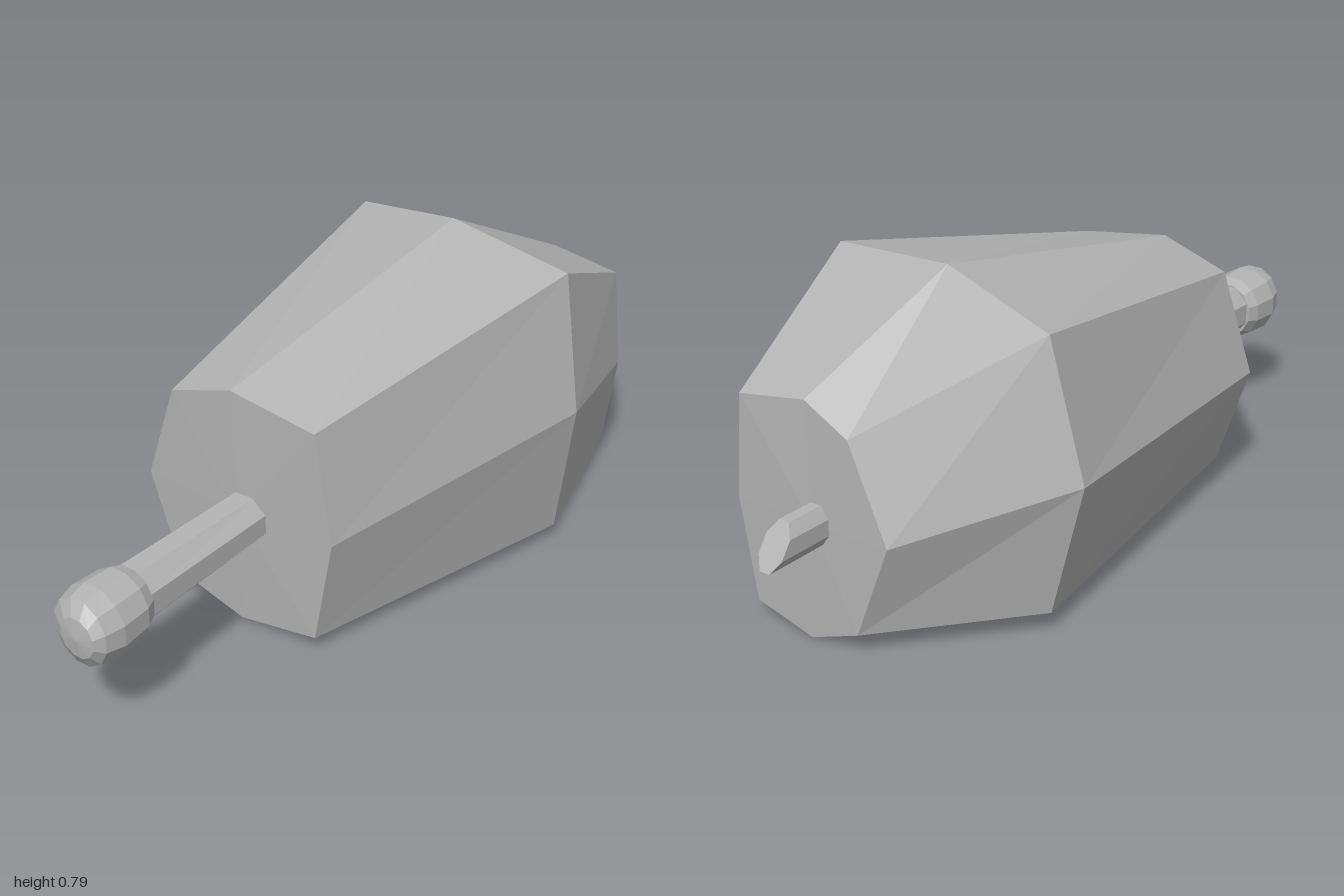
import * as THREE from 'three';

// Skin closed rings (listed front to back, clockwise seen from the front) and fan-cap both ends.
function loft(name, rings, material, frontTip, backTip) {
  const pos = [];
  const tri = (...pts) => pts.forEach((p) => pos.push(...p));
  const middle = (ring) => [0, 1, 2].map((k) => ring.reduce((s, p) => s + p[k], 0) / ring.length);
  const n = rings[0].length;
  const first = rings[0], last = rings[rings.length - 1];
  const f = frontTip || middle(first), b = backTip || middle(last);
  for (let i = 0; i < n; i++) {
    const j = (i + 1) % n;
    for (let r = 0; r < rings.length - 1; r++) {
      const p = rings[r], q = rings[r + 1];
      tri(p[i], p[j], q[i]);
      tri(p[j], q[j], q[i]);
    }
    tri(f, first[j], first[i]);
    tri(b, last[i], last[j]);
  }
  const geometry = new THREE.BufferGeometry();
  geometry.setAttribute('position', new THREE.Float32BufferAttribute(pos, 3));
  geometry.computeVertexNormals();
  const mesh = new THREE.Mesh(geometry, material);
  mesh.name = name;
  return mesh;
}

// Elliptical ring; zAt may be a number or a function of y.
function oval(cx, cy, rx, ry, zAt, sides, turn = 0) {
  return Array.from({ length: sides }, (_, i) => {
    const a = ((i + turn) / sides) * Math.PI * 2;
    const y = cy + ry * Math.cos(a);
    return [cx + rx * Math.sin(a), y, typeof zAt === 'function' ? zAt(y) : zAt];
  });
}

export function createModel() {
  const grey = new THREE.MeshStandardMaterial({ color: 0xb4b4b4 });
  grey.name = 'grey';
  grey.flatShading = true;
  const model = new THREE.Group();
  model.name = 'facetedBarrelWithHandle';

  // Irregular eight-sided body: front, widest and back sections
  const front = [
    [-0.03, 0.635, 0.42], [0.21, 0.6, 0.415], [0.253, 0.32, 0.41], [0.197, 0.04, 0.405],
    [-0.03, 0.003, 0.405], [-0.22, 0.055, 0.405], [-0.308, 0.32, 0.41], [-0.217, 0.575, 0.415],
  ];
  const widest = [
    [0, 0.79, -0.42], [0.372, 0.755, -0.37], [0.433, 0.4, -0.35], [0.377, 0.04, -0.37],
    [0.06, 0.002, -0.42], [-0.345, 0.055, -0.5], [-0.435, 0.395, -0.5], [-0.342, 0.728, -0.5],
  ];
  const back = [
    [0.06, 0.592, -0.832], [0.25, 0.56, -0.838], [0.28, 0.3, -0.835], [0.245, 0.04, -0.83],
    [0.08, 0, -0.83], [-0.06, 0.055, -0.83], [-0.158, 0.3, -0.83], [-0.06, 0.53, -0.832],
  ];
  model.add(loft('body', [front, widest, back], grey, [-0.02, 0.31, 0.42], [0.05, 0.3, -0.838]));

  // Handle shaft, slightly thicker toward the knob
  model.add(loft('handleShaft', [
    oval(0.005, 0.3, 0.07, 0.075, 0.83, 8, 0.5),
    oval(0.002, 0.312, 0.066, 0.062, 0.4, 8, 0.5),
  ], grey));

  // Rounded knob
  model.add(loft('handleKnob', [
    [0.025, 0.3, 0.05, 0.05, 0.993],
    [0.012, 0.298, 0.08, 0.085, 0.97],
    [0.008, 0.296, 0.093, 0.095, 0.92],
    [0.006, 0.298, 0.088, 0.09, 0.84],
    [0.004, 0.3, 0.074, 0.076, 0.808],
  ].map(([x, y, rx, ry, z]) => oval(x, y, rx, ry, z, 12, 0.5)), grey, [0.025, 0.3, 1]));

  // Rear peg with an obliquely cut end
  model.add(loft('rearPeg', [
    oval(0.038, 0.305, 0.037, 0.052, -0.8, 8, 0.5),
    oval(0.038, 0.305, 0.037, 0.052, (y) => -1 + 0.7 * (y - 0.257), 8, 0.5),
  ], grey));

  return model;
}
